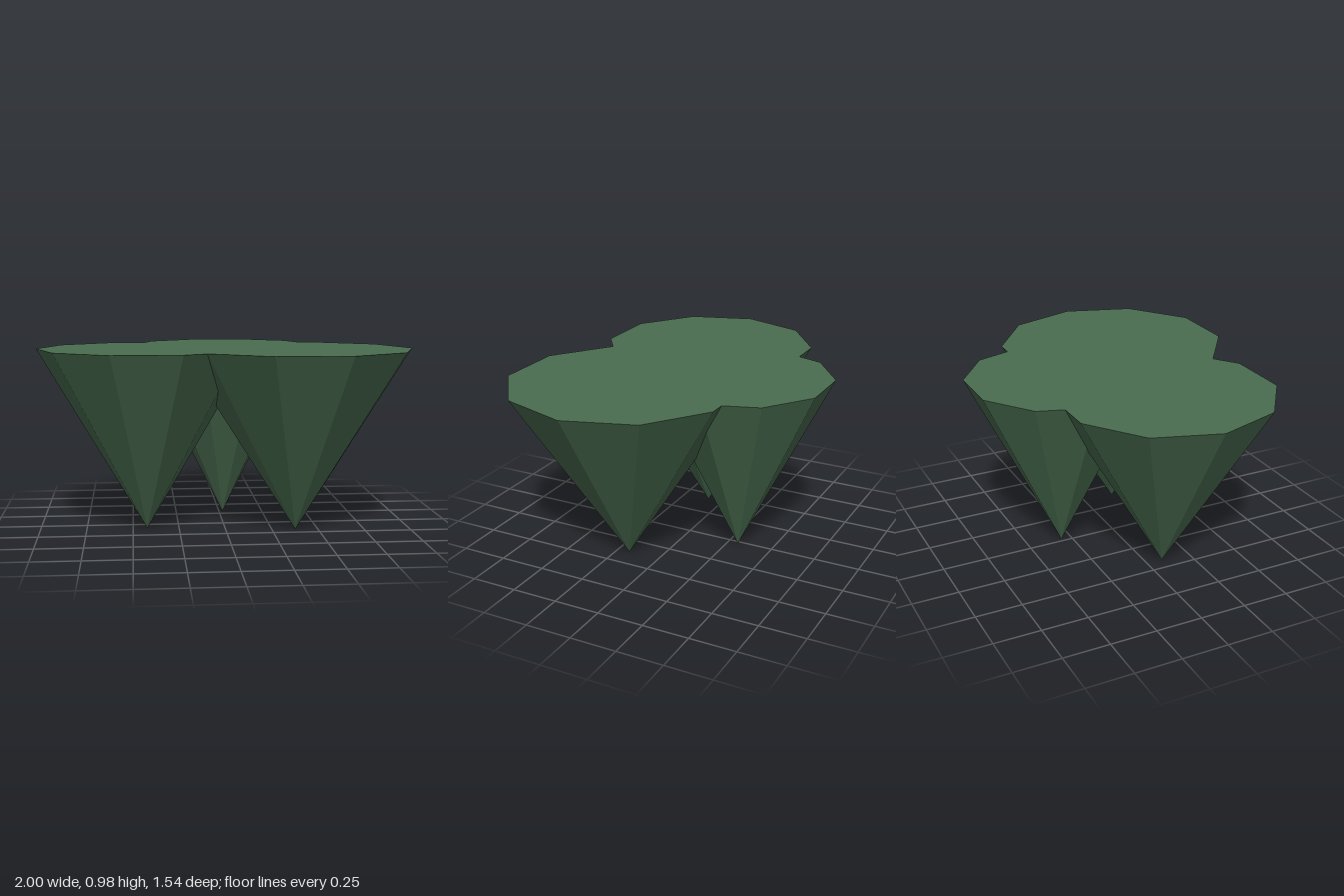
import * as THREE from 'three';

const HEIGHT = 0.98;

export function createModel() {
  const group = new THREE.Group();
  group.name = 'coneCluster';
  const material = new THREE.MeshStandardMaterial({ color: 0x4a6d50, flatShading: true });

  // Ten-sided cone standing on its tip, with a corner pointing along +x
  function addCone(name, x, z, radius) {
    const geometry = new THREE.CylinderGeometry(radius, 0, HEIGHT, 10, 1, false, Math.PI / 2);
    const cone = new THREE.Mesh(geometry, material);
    cone.name = name;
    cone.position.set(x, HEIGHT / 2, z);
    group.add(cone);
  }

  // Three overlapping cones sharing one flat top
  addCone('rightCone', -0.423, 0.09, 0.577);
  addCone('leftCone', 0.377, 0.18, 0.622);
  addCone('backCone', 0.021, -0.308, 0.489);

  return group;
}
